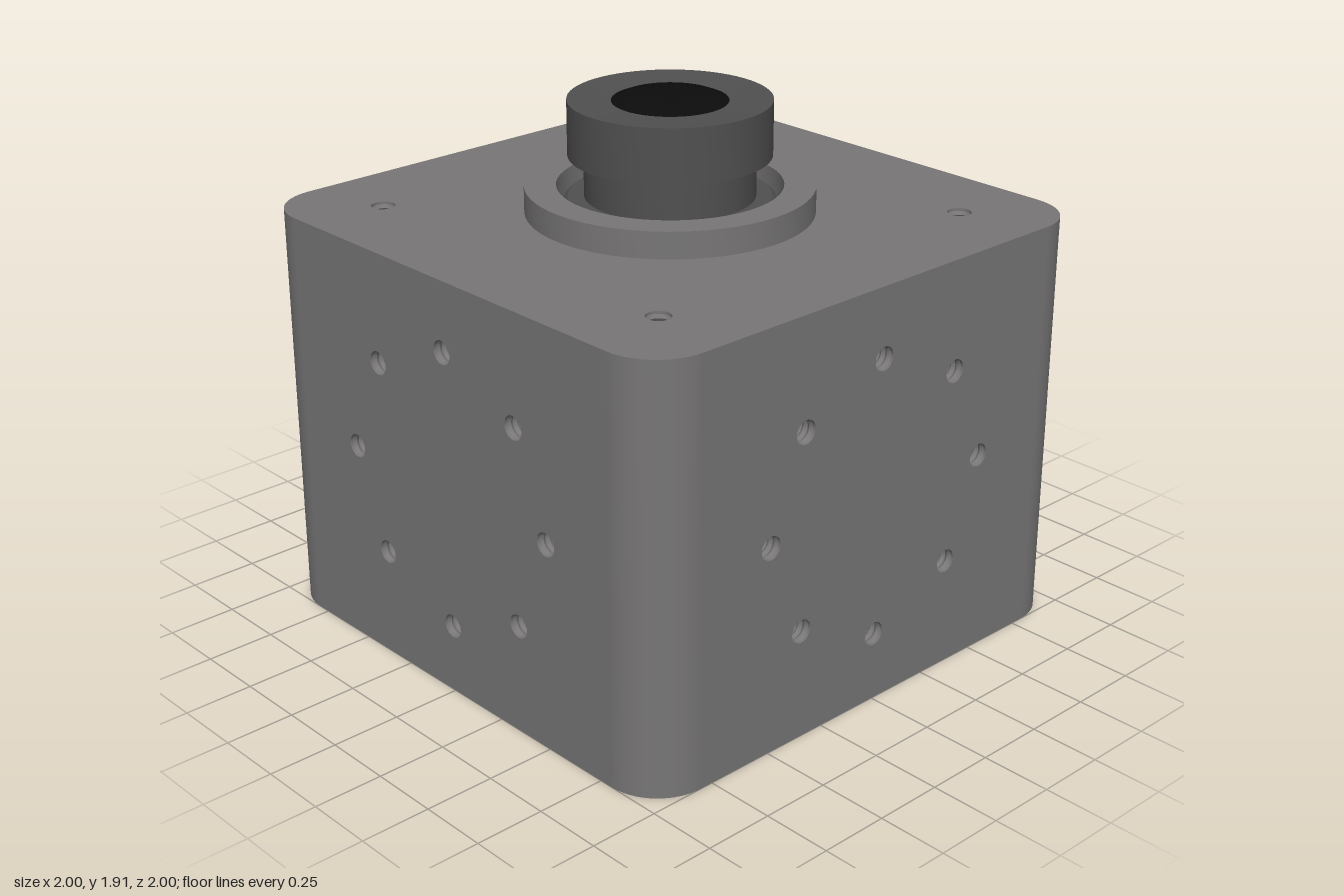
import * as THREE from 'three';
import { toCreasedNormals } from 'three/addons/utils/BufferGeometryUtils.js';

const material = (name, color) => Object.assign(new THREE.MeshStandardMaterial({ color }), { name });
const housing = material('housing grey', 0x787677);
const dark = material('barrel grey', 0x505050);
const black = material('lens black', 0x0c0c0c);
const silver = material('silver metal', 0xd2d2d2);

const HOLE = 0.042;

function add(parent, name, geometry, mat, x = 0, y = 0, z = 0) {
  const mesh = new THREE.Mesh(geometry, mat);
  mesh.name = name;
  mesh.position.set(x, y, z);
  parent.add(mesh);
  return mesh;
}

// Rounded rectangle centred on (cx, cy)
function roundedRect(w, h, r, cx = 0, cy = 0) {
  const s = new THREE.Shape(), a = w / 2 - r, b = h / 2 - r, q = Math.PI / 2;
  s.absarc(cx + a, cy + b, r, 0, q);
  s.absarc(cx - a, cy + b, r, q, 2 * q);
  s.absarc(cx - a, cy - b, r, 2 * q, 3 * q);
  s.absarc(cx + a, cy - b, r, 3 * q, 4 * q);
  s.closePath();
  return s;
}

function rect(x0, y0, x1, y1) {
  return new THREE.Shape([[x0, y0], [x1, y0], [x1, y1], [x0, y1]].map(p => new THREE.Vector2(...p)));
}

function circle(x, y, r) {
  return new THREE.Path().absarc(x, y, r, 0, Math.PI * 2, true);
}

// Plate whose outer face lies at z = 0
function plate(shape, holes, depth) {
  shape.holes.push(...holes);
  const g = new THREE.ExtrudeGeometry(shape, { depth, bevelEnabled: false, curveSegments: 16 });
  return g.translate(0, 0, -depth);
}

function lathe(points, segments = 64) {
  const g = new THREE.LatheGeometry(points.map(p => new THREE.Vector2(...p)), segments);
  return toCreasedNormals(g, 0.5);
}

// Blind threaded hole running inwards along -z
const threadProfile = [[HOLE, -0.01]];
for (let i = 0; i < 6; i++) {
  threadProfile.push([0.035, -0.022 - i * 0.024], [HOLE, -0.034 - i * 0.024]);
}
threadProfile.push([0, -0.154]);
const threadGeometry = lathe(threadProfile, 20).rotateX(Math.PI / 2);

function threads(parent, spots) {
  for (const [x, y] of spots) add(parent, 'threadedHole', threadGeometry, housing, x, y, 0);
}

function ringSpots(cx, cy, r) {
  return Array.from({ length: 8 }, (_, i) => {
    const a = i * Math.PI / 4;
    return [cx + r * Math.cos(a), cy + r * Math.sin(a)];
  });
}

const cornerSpots = (cy, dx, dy) => [[-dx, cy - dy], [dx, cy - dy], [dx, cy + dy], [-dx, cy + dy]];
const holesAt = (spots, r) => spots.map(([x, y]) => circle(x, y, r));

function face(parent, name, rotX, rotY, x, y, z) {
  const g = new THREE.Group();
  g.name = name;
  g.rotation.set(rotX, rotY, 0);
  g.position.set(x, y, z);
  parent.add(g);
  return g;
}

// Connector panel sunk into the right wall
function buildPanel(parent) {
  const g = new THREE.Group();
  g.name = 'connectorPanel';
  g.position.z = -0.05;
  parent.add(g);
  const tiny = [[-0.15, 0.53], [0, 0.53], [0.15, 0.53]];
  add(g, 'panelPlate', plate(rect(-0.55, 0.37, 0.55, 1.28), [
    roundedRect(0.48, 0.18, 0.089, 0, 0.775),
    circle(0, 1.12, HOLE),
    circle(0.4, 0.775, 0.027),
    ...holesAt(tiny, 0.013),
  ], 0.09), housing);
  add(g, 'indicator', new THREE.CircleGeometry(0.06, 20), silver, 0, 1.12, -0.085);
  add(g, 'buttonHoleFloor', new THREE.CircleGeometry(0.04, 16), housing, 0.4, 0.775, -0.08);
  for (const [x, y] of tiny) add(g, 'pinHoleFloor', new THREE.CircleGeometry(0.02, 10), housing, x, y, -0.08);

  // Socket: metal shell, back wall and tongue
  add(g, 'socketShell', plate(roundedRect(0.52, 0.22, 0.109), [roundedRect(0.42, 0.13, 0.064)], 0.2),
    silver, 0, 0.775, -0.085);
  add(g, 'socketBack', new THREE.PlaneGeometry(0.46, 0.18), silver, 0, 0.775, -0.28);
  add(g, 'socketTongue', new THREE.BoxGeometry(0.33, 0.045, 0.17), silver, 0, 0.775, -0.195);
}

// Four walls, rounded corners and top
function buildHousing(root) {
  const ring = ringSpots(0, 0.75, 0.5);
  const corners = cornerSpots(0.75, 0.7, 0.6);
  const walls = [['frontWall', 0, 0, 1], ['rightWall', Math.PI / 2, 1, 0],
    ['backWall', Math.PI, 0, -1], ['leftWall', -Math.PI / 2, -1, 0]];
  for (const [name, rot, x, z] of walls) {
    const g = face(root, name, 0, rot, x, 0, z);
    const isPanel = name === 'rightWall';
    const spots = isPanel ? corners : ring;
    const holes = holesAt(spots, HOLE);
    if (isPanel) {
      holes.push(roundedRect(1, 0.81, 0.1, 0, 0.825));
      buildPanel(g);
    }
    add(g, name + 'Plate', plate(rect(-0.8, 0, 0.8, 1.5), holes, 0.05), housing);
    threads(g, spots);
  }
  for (let i = 0; i < 4; i++) {
    const a = i * Math.PI / 2, m = a + Math.PI / 4, d = 0.8 * Math.SQRT2;
    add(root, 'roundedCorner', new THREE.CylinderGeometry(0.2, 0.2, 1.5, 16, 1, true, a, Math.PI / 2),
      housing, d * Math.sin(m), 0.75, d * Math.cos(m));
  }
  const top = face(root, 'top', -Math.PI / 2, 0, 0, 1.5, 0);
  const spots = cornerSpots(0, 0.7, 0.7);
  add(top, 'topPlate', plate(roundedRect(2, 2, 0.2), [...holesAt(spots, HOLE), circle(0, 0, 0.42)], 0.05), housing);
  threads(top, spots);
}

// Underside: rim, recessed cover, screws and mount
function buildBase(root) {
  const g = face(root, 'base', Math.PI / 2, 0, 0, 0, 0);
  add(g, 'baseRim', plate(roundedRect(2, 2, 0.2), [roundedRect(1.8, 1.8, 0.13)], 0.04), housing);
  const screws = cornerSpots(0, 0.7, 0.7);
  const pins = ringSpots(0, 0, 0.5);
  add(g, 'baseCover', plate(roundedRect(1.8, 1.8, 0.13),
    [...holesAt(screws, 0.1), ...holesAt(pins, 0.034)], 0.08), housing, 0, 0, -0.03);
  const screw = lathe([[0.101, -0.07], [0.085, -0.045], [0.055, -0.035], [0.036, -0.035],
    [0.03, -0.075], [0, -0.08]], 24).rotateX(Math.PI / 2);
  for (const [x, y] of screws) add(g, 'screw', screw, silver, x, y, 0);
  for (const [x, y] of pins) add(g, 'mountInsert', new THREE.CircleGeometry(0.045, 16), silver, x, y, -0.05);
  add(g, 'mountPad', plate(roundedRect(0.54, 0.54, 0.08), [circle(0, 0, 0.2)], 0.006), housing, 0, 0, -0.025);
  add(g, 'mountDisc', plate(new THREE.Shape().absarc(0, 0, 0.196, 0, Math.PI * 2), [circle(0.06, -0.08, 0.05)], 0.004),
    housing, 0, 0, -0.027);
}

// Flange with a well, lens barrel and domed glass
function buildLens(root) {
  const g = new THREE.Group();
  g.name = 'lens';
  root.add(g);
  add(g, 'lensFlange', lathe([[0.5, 1.48], [0.5, 1.595], [0.39, 1.595], [0.39, 1.35]]), housing);
  add(g, 'wellFloor', new THREE.CircleGeometry(0.4, 64).rotateX(-Math.PI / 2), silver, 0, 1.36, 0);
  add(g, 'lensBarrel', lathe([[0.366, 1.35], [0.366, 1.54], [0.35, 1.555], [0.295, 1.555], [0.295, 1.7],
    [0.35, 1.7], [0.35, 1.895], [0.2, 1.888]]), dark);
  add(g, 'lensGlass', lathe([[0.2, 1.888], [0.17, 1.9], [0.1, 1.905], [0, 1.907]]), black);
}

export function createModel() {
  const root = new THREE.Group();
  root.name = 'cubeCamera';
  buildHousing(root);
  buildBase(root);
  buildLens(root);
  return root;
}
